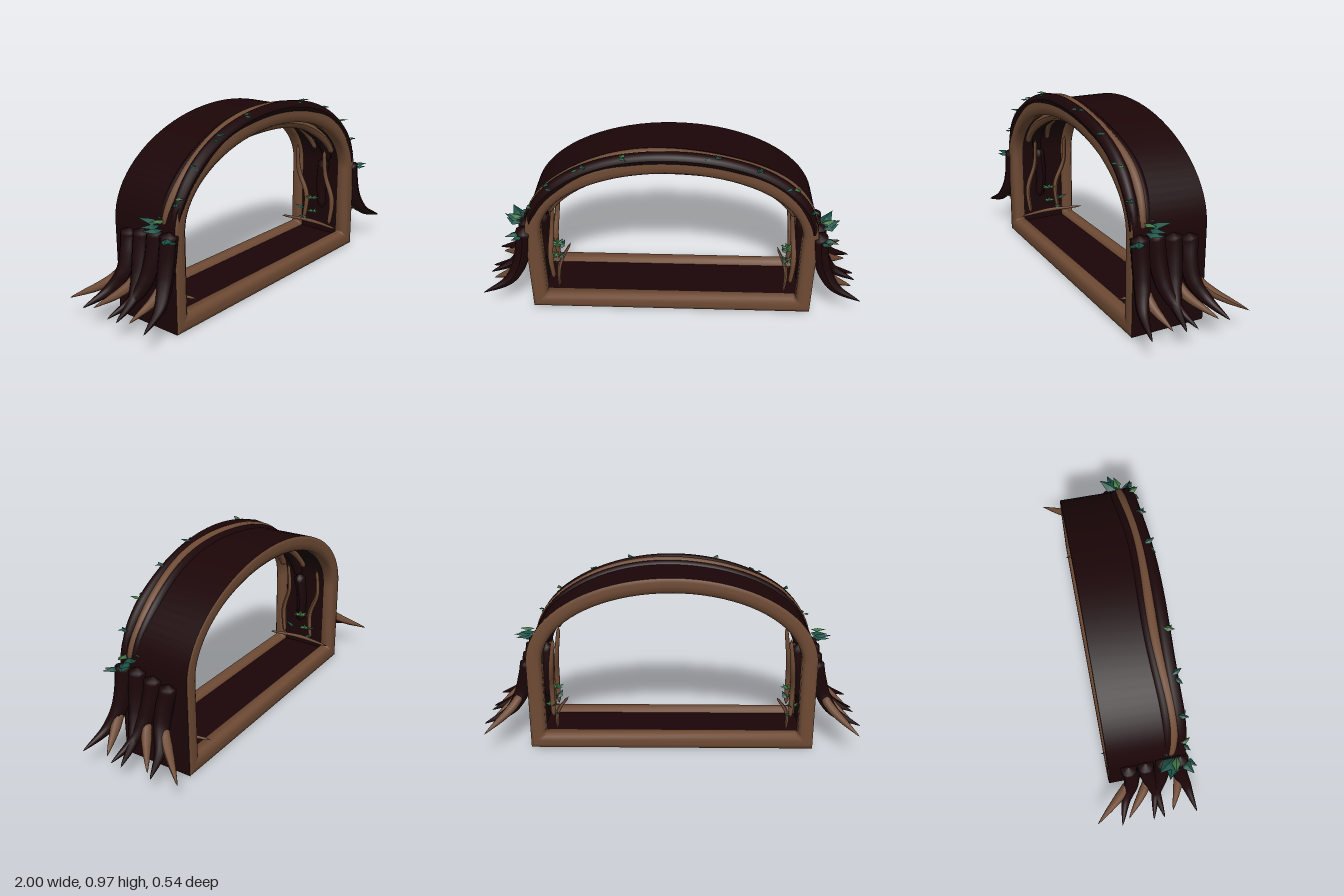
import * as THREE from 'three';
import { toCreasedNormals } from 'three/addons/utils/BufferGeometryUtils.js';

const material = (name, color, side = THREE.FrontSide) => {
  const m = new THREE.MeshStandardMaterial({ color, side });
  m.name = name;
  return m;
};
const V = (x, y, z) => new THREE.Vector3(x, y, z);

// Point on the arch, inset by d from the outer surface
const archPoint = (a, d, z) => V((0.75 - d) * Math.cos(a), 0.48 + (0.455 - d) * Math.sin(a), z);

// Closed outline: floor, straight walls, elliptical top
function outline(d) {
  const w = 0.75 - d, e = 0.012;
  const pts = [V(-w, d, 0), V(-w + e, d, 0), V(w - e, d, 0), V(w, d, 0), V(w, d + e, 0)];
  for (let i = 0; i <= 40; i++) pts.push(archPoint(i / 40 * Math.PI, d, 0));
  pts.push(V(-w, d + e, 0));
  return pts;
}

// Sweep a profile of [inset, z] pairs round the outline
function sweep(profile) {
  const pos = [], index = [], m = profile.length;
  const rings = profile.map(([d]) => outline(d));
  const n = rings[0].length;
  for (let i = 0; i < n; i++) {
    profile.forEach(([, z], j) => pos.push(rings[j][i].x, rings[j][i].y, z));
    for (let j = 0; j < m - 1; j++) {
      const a = i * m + j, b = ((i + 1) % n) * m + j;
      index.push(a, b, b + 1, a, b + 1, a + 1);
    }
  }
  const g = new THREE.BufferGeometry();
  g.setAttribute('position', new THREE.Float32BufferAttribute(pos, 3));
  g.setIndex(index);
  g.computeVertexNormals();
  return g;
}

// Tube whose radius follows the list of radii; both ends are closed
function taperedTube(points, radii, segments = 20, sides = 10) {
  const curve = new THREE.CatmullRomCurve3(points);
  const g = new THREE.TubeGeometry(curve, segments, 1, sides, false);
  const p = g.attributes.position, v = V();
  for (let i = 0; i <= segments; i++) {
    const u = i / segments, c = curve.getPointAt(u);
    const f = u * (radii.length - 1), k = Math.min(Math.floor(f), radii.length - 2);
    const r = i % segments === 0 ? 0 : THREE.MathUtils.lerp(radii[k], radii[k + 1], f - k);
    for (let j = 0; j <= sides; j++) {
      const q = i * (sides + 1) + j;
      v.fromBufferAttribute(p, q).sub(c).multiplyScalar(r).add(c);
      p.setXYZ(q, v.x, v.y, v.z);
    }
  }
  g.computeVertexNormals();
  return g;
}

// Pointed leaf, folded along its rib, growing along +z
function leafGeometry() {
  const g = new THREE.BufferGeometry();
  g.setAttribute('position', new THREE.Float32BufferAttribute(
    [0, 0, 0, -0.28, -0.08, 0.4, 0, 0.08, 0.45, 0.28, -0.08, 0.4, 0, -0.02, 1], 3));
  g.setIndex([0, 2, 1, 0, 3, 2, 1, 2, 4, 2, 3, 4]);
  const flat = g.toNonIndexed();
  flat.computeVertexNormals();
  return flat;
}

export function createModel() {
  const model = new THREE.Group();
  model.name = 'rootArch';
  const bark = material('dark bark', 0x1b0507);
  const wood = material('brown wood', 0x6e4a34);
  const teal = material('teal leaf', 0x1d5347, THREE.DoubleSide);
  const green = material('green leaf', 0x417545, THREE.DoubleSide);
  const leafShape = leafGeometry();

  const add = (name, g, m) => {
    const mesh = new THREE.Mesh(g, m);
    mesh.name = name;
    model.add(mesh);
    return mesh;
  };
  const leaf = (at, dir, size, m = teal) => {
    const mesh = add('leaf', leafShape, m);
    mesh.position.copy(at);
    mesh.scale.setScalar(size);
    mesh.lookAt(at.clone().add(dir));
  };

  // Tunnel shell and the two rounded rims
  add('outerShell', toCreasedNormals(sweep([[0, -0.17], [0, 0.22]]), 0.6), bark);
  add('innerShell', toCreasedNormals(sweep([[0.055, 0.17], [0.055, -0.12]]), 0.6), bark);
  const rim = [[0.001, 0.205], [0.001, 0.219], [0.02, 0.221], [0.04, 0.222], [0.062, 0.22],
    [0.08, 0.207], [0.08, 0.16], [0.054, 0.15]];
  add('frontRim', sweep(rim), wood);
  add('backRim', sweep(rim.map(([d, z]) => [d, 0.05 - z]).reverse()), wood);

  // Wavy vines over the arch and beneath it; sink buries the lower ends in the shell
  const vine = (name, m, d, z, r, wave, phase, start, sink = 0) => {
    const pts = [], n = 24;
    for (let i = 0; i <= n; i++) {
      const a = start + (Math.PI - 2 * start) * i / n;
      pts.push(archPoint(a, d + sink * (1 - Math.sin(a)), z + wave * Math.sin(a * 5 + phase)));
    }
    add(name, taperedTube(pts, [r * 0.7, r, r, r, r, r, r * 0.7], 72), m);
  };
  vine('frontVine', bark, -0.004, 0.196, 0.032, 0.005, 0.5, 0.02, 0.03);
  vine('middleVine', wood, -0.002, 0.157, 0.028, 0.011, 1.6, 0.06, 0.018);
  vine('rearVine', bark, 0.014, 0.134, 0.033, 0.009, 1.6, 0.02, 0.01);
  vine('innerFrontVine', wood, 0.095, 0.13, 0.025, 0.01, 0.4, 0.25);
  vine('innerMiddleVine', bark, 0.07, 0.07, 0.035, 0.012, 1, 0.05);
  vine('innerBackVine', wood, 0.08, 0.02, 0.02, 0.015, 2, 0.25);

  // Root: [z top, y top, z middle, z knee, dark tip z, brown tip z]
  const roots = [
    [0.193, 0.505, 0.193, 0.203, 0.265, 0.14],
    [0.108, 0.505, 0.105, 0.092, 0.03, null],
    [0.018, 0.485, 0.025, 0.04, 0.09, -0.1],
    [-0.068, 0.467, -0.058, -0.06, -0.14, -0.27],
  ];
  for (const s of [1, -1]) {
    for (const [z0, y0, zm, z1, darkZ, brownZ] of roots) {
      add('sideRoot', taperedTube([
        V(s * 0.756, y0, z0), V(s * 0.761, y0 - 0.04, z0), V(s * 0.777, 0.36, zm),
        V(s * 0.808, 0.265, z1), V(s * 0.865, 0.185, z1 * 0.55 + darkZ * 0.45), V(s * 1, 0.122, darkZ),
      ], [0.043, 0.042, 0.042, 0.041, 0.038, 0.032, 0.022, 0.013, 0.002], 28), bark);
      if (brownZ !== null) add('rootProng', taperedTube([
        V(s * 0.805, 0.27, z1 - 0.014), V(s * 0.85, 0.21, z1 * 0.7 + brownZ * 0.3),
        V(s * 0.97, 0.124, brownZ),
      ], [0.022, 0.025, 0.016, 0.002], 14), wood);
    }

    // Thin stems against the inner walls and a stick along the floor
    for (const [za, zb] of [[0.13, 0.1], [-0.05, -0.09]]) {
      add('innerStem', taperedTube([
        V(s * 0.642, 0.12, za), V(s * 0.647, 0.28, za + 0.012), V(s * 0.635, 0.43, zb), V(s * 0.615, 0.59, zb),
      ], [0.012, 0.015, 0.013, 0.01], 18, 8), wood);
    }
    add('innerRoot', taperedTube([
      V(s * 0.69, 0.2, 0.05), V(s * 0.685, 0.35, 0.04), V(s * 0.68, 0.52, 0.06),
    ], [0.025, 0.03, 0.035], 12), bark);
    add('floorStick', taperedTube([
      V(s * 0.6, 0.125, 0.21), V(s * 0.63, 0.125, 0.02), V(s * 0.6, 0.125, -0.19),
    ], [0.006, 0.012, 0.006], 12, 8), wood);

    // Round leaf rosettes and small leaves inside
    for (const [x, y, z, size] of [[0.63, 0.27, 0.015, 0.045], [0.66, 0.175, 0, 0.038]]) {
      for (let i = 0; i < 7; i++) {
        const a = i / 7 * Math.PI * 2;
        leaf(V(s * x, y, z), V(Math.cos(a) * 0.8, 0.2, Math.sin(a)), size, green);
      }
    }
    leaf(V(s * 0.64, 0.19, -0.04), V(-s * 0.3, 0.3, -0.6), 0.07);
    leaf(V(s * 0.64, 0.18, 0.06), V(-s * 0.3, 0.4, 0.5), 0.065);
    leaf(V(s * 0.645, 0.14, -0.02), V(-s * 0.4, 0.1, -0.6), 0.06);

    // Leaf cluster above the roots
    const cluster = [
      [0.76, 0.54, 0.16, 0.6, 0.25, -0.8, 0.115], [0.77, 0.53, 0.15, 0.9, 0.1, -0.3, 0.1],
      [0.77, 0.515, 0.17, 0.9, 0.05, -0.5, 0.1], [0.76, 0.555, 0.17, 0.8, 0.1, -0.2, 0.08],
      [0.77, 0.485, 0.2, 0.8, 0, 0.5, 0.09], [0.765, 0.47, 0.215, 0.5, 0.1, 0.6, 0.07],
      [0.75, 0.55, 0.13, -0.7, 0.25, -0.5, 0.07],
    ];
    cluster.forEach(([x, y, z, dx, dy, dz, size], i) =>
      leaf(V(s * x, y, z), V(s * dx, dy, dz), size, i === 3 ? green : teal));
  }

  // Leaves scattered along the front vine
  [0.36, 0.67, 0.98, 1.29, 1.86, 2.16, 2.47, 2.78].forEach((a, i) => {
    const side = i % 2 ? 0.35 : -0.35, d = -0.036 + 0.03 * (1 - Math.sin(a));
    leaf(archPoint(a, d, 0.19), V(side, 0.12, 0.9), 0.055, i % 3 === 1 ? green : teal);
    leaf(archPoint(a + 0.03, d + 0.004, 0.205), V(-side * 2, -0.1, 0.6), 0.045);
  });
  return model;
}
